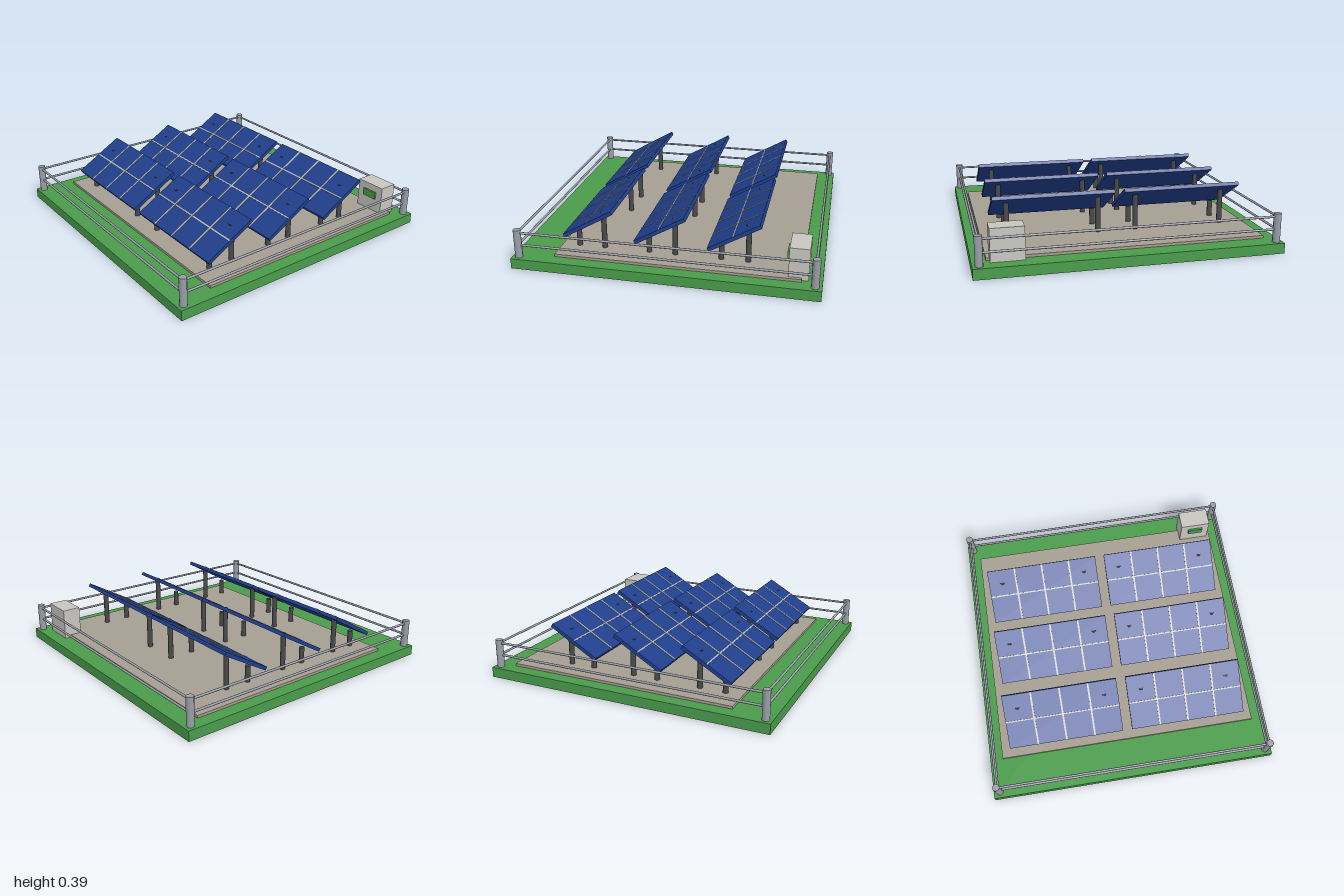
import * as THREE from 'three';

const mat = (name, color) => {
  const m = new THREE.MeshStandardMaterial({ color });
  m.name = name;
  return m;
};

export function createModel() {
  const root = new THREE.Group();
  root.name = 'solarFarm';
  const grass = mat('grass green', 0x4a9c4c);
  const gravel = mat('gravel', 0xa69e92);
  const panelBlue = mat('panel blue', 0x203f8c);
  const seamGrey = mat('seam grey', 0xb8b8b0);
  const steel = mat('dark steel', 0x4a4a4e);
  const fenceGrey = mat('fence grey', 0x9a9ea8);
  const cabinetGrey = mat('cabinet grey', 0xc8c6c0);

  const add = (parent, name, geo, material, x, y, z) => {
    const m = new THREE.Mesh(geo, material);
    m.name = name;
    m.position.set(x, y, z);
    parent.add(m);
    return m;
  };
  const box = (parent, name, material, w, h, d, x, y, z) =>
    add(parent, name, new THREE.BoxGeometry(w, h, d), material, x, y, z);
  // Upright cylinder between two heights
  const post = (parent, name, material, r, x, z, y0, y1) =>
    add(parent, name, new THREE.CylinderGeometry(r, r, y1 - y0, 12), material, x, (y0 + y1) / 2, z);

  // Ground slab and gravel bed
  box(root, 'lawn', grass, 2, 0.07, 2, 0, 0.035, 0);
  box(root, 'gravelBed', gravel, 1.82, 0.03, 1.6, 0, 0.073, -0.07);

  // Solar tables: three rows of two, tilted towards the front
  const W = 0.805, L = 0.382, T = 0.025;
  for (const z of [-0.438, 0.042, 0.522]) {
    for (const side of [-1, 1]) {
      const table = new THREE.Group();
      table.name = 'solarTable';
      table.position.set(side * 0.435, 0, z);
      root.add(table);

      const tilted = new THREE.Group();
      tilted.name = 'panelArray';
      tilted.position.y = 0.286;
      tilted.rotation.x = Math.PI / 6;
      table.add(tilted);
      box(tilted, 'panel', panelBlue, W, T, L, 0, 0, 0);
      for (const i of [-1, 0, 1])
        box(tilted, 'columnSeam', seamGrey, 0.012, 0.006, L, i * W / 4, T / 2, 0);
      box(tilted, 'rowSeam', seamGrey, W, 0.004, 0.009, 0, T / 2, 0);

      // Short front legs, tall back legs
      for (const x of [-0.305, 0.305]) {
        post(table, 'frontLeg', steel, 0.018, x, 0.093, 0.08, 0.2);
        post(table, 'backLeg', steel, 0.018, x, -0.082, 0.08, 0.345);
      }
    }
  }

  // Perimeter fence
  const F = 0.957;
  for (const s of [-1, 1]) {
    for (const t of [-1, 1]) post(root, 'fencePost', fenceGrey, 0.025, s * F, t * F, 0.07, 0.264);
    for (const y of [0.155, 0.241]) {
      const rail = () => new THREE.CylinderGeometry(0.008, 0.008, 2 * F, 10);
      add(root, 'fenceRail', rail(), fenceGrey, 0, y, s * F).rotation.z = Math.PI / 2;
      add(root, 'fenceRail', rail(), fenceGrey, s * F, y, 0).rotation.x = Math.PI / 2;
    }
  }

  // Inverter cabinet with a small screen
  box(root, 'cabinet', cabinetGrey, 0.215, 0.215, 0.127, 0.78, 0.178, -0.85);
  box(root, 'cabinetScreen', grass, 0.108, 0.05, 0.015, 0.782, 0.212, -0.78);

  return root;
}
